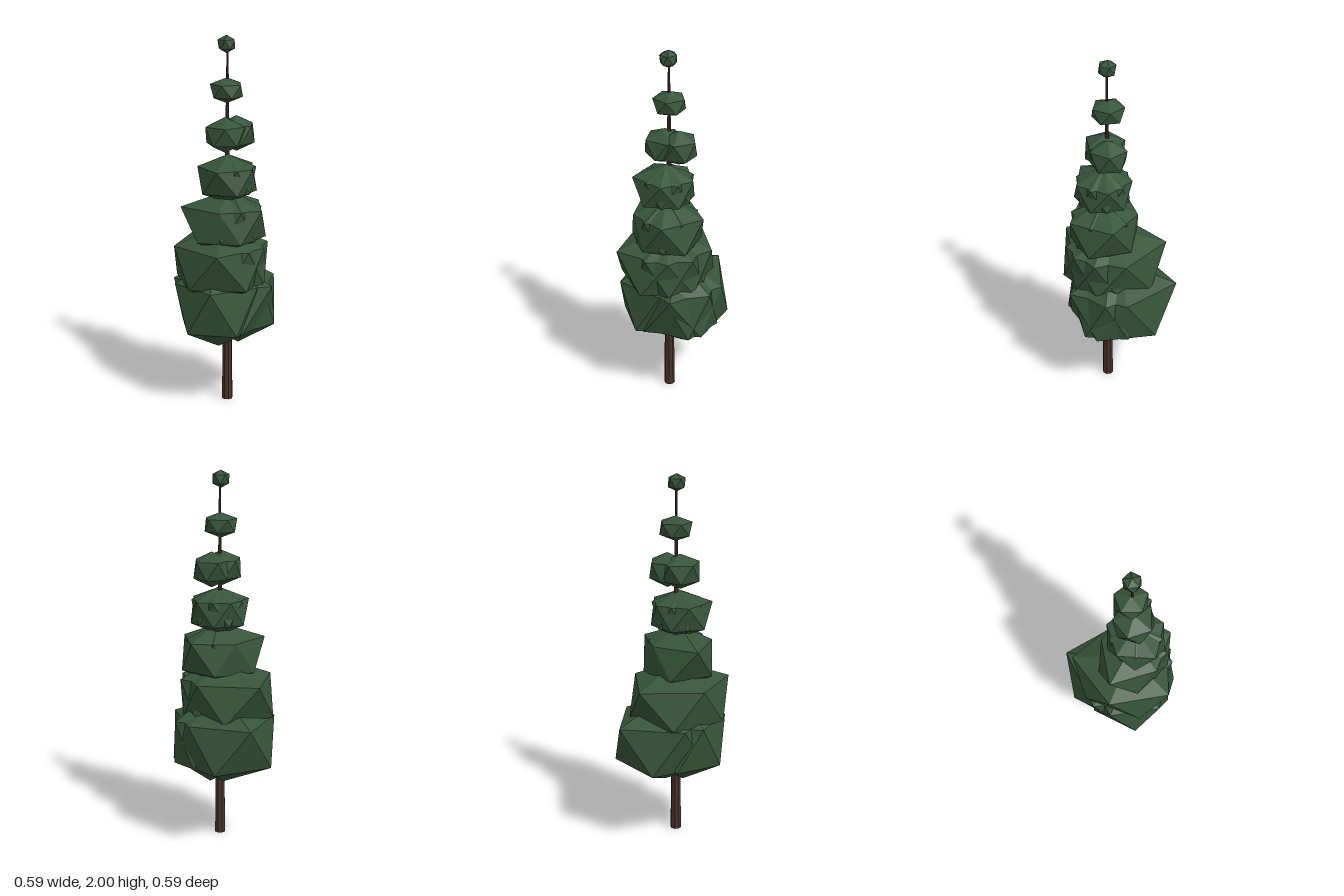
import * as THREE from 'three';
import { mergeGeometries } from 'three/addons/utils/BufferGeometryUtils.js';

// Irregular 20-sided clump: two five-cornered rings, half a step apart, closed by a top and a bottom tip.
// radii: one per upper corner, or a single value. Lower corners average their two upper neighbours.
// yaw: degrees from +z towards +x.
function clump(low, high, x, z, yaw, radii) {
  const r = Array.isArray(radii) ? radii : Array(5).fill(radii);
  const tip = (high - low) / 2;
  const corner = (radius, y, k) => {
    const a = THREE.MathUtils.degToRad(yaw + 72 * k);
    return [x + radius * Math.sin(a), y, z + radius * Math.cos(a)];
  };
  const upper = r.map((v, k) => corner(v, high, k));
  const lower = r.map((v, k) => corner(0.48 * (v + r[(k + 1) % 5]), low, k + 0.5));
  const topTip = [x, high + tip, z], bottomTip = [x, low - tip, z];
  const points = [];
  for (let k = 0; k < 5; k++) {
    const n = (k + 1) % 5;
    points.push(topTip, upper[k], upper[n], upper[k], lower[k], upper[n]);
    points.push(lower[k], lower[n], upper[n], bottomTip, lower[n], lower[k]);
  }
  const g = new THREE.BufferGeometry().setFromPoints(points.map((p) => new THREE.Vector3(...p)));
  g.computeVertexNormals();
  return g;
}

// Tiers from the ground up: ring heights and overlapping clumps [x, z, yaw, radii]
const tiers = [
  { low: 0.435, high: 0.68, clumps: [
    [-0.02, -0.06, 14, [0.25, 0.3, 0.26, 0.32, 0.28]], [-0.01, 0.03, 20, 0.235], [0.05, -0.08, 142, 0.21]] },
  { low: 0.685, high: 0.89, clumps: [[0, 0, 24, [0.285, 0.24, 0.25, 0.31, 0.265]], [0.03, -0.01, 60, 0.215]] },
  { low: 0.93, high: 1.1, clumps: [[0.03, 0, 16, [0.18, 0.21, 0.215, 0.18, 0.25]], [0.04, 0, 52, 0.17]] },
  { low: 1.185, high: 1.315, clumps: [[0.03, 0, 12, [0.18, 0.16, 0.16, 0.15, 0.16]], [0.035, 0, 48, 0.145]] },
  { low: 1.435, high: 1.53, clumps: [[0.02, 0.01, 30, 0.108], [0.045, -0.065, 80, 0.1]] },
  { low: 1.68, high: 1.747, clumps: [[0.015, -0.015, 85, 0.088]] },
  { low: 1.93, high: 1.977, clumps: [[0.016, -0.01, 20, 0.047]] },
];

export function createModel() {
  const tree = new THREE.Group();
  tree.name = 'tree';
  const foliageGreen = new THREE.MeshStandardMaterial({ color: 0x37543a });
  foliageGreen.name = 'foliageGreen';
  const barkBrown = new THREE.MeshStandardMaterial({ color: 0x4a322c, flatShading: true });
  barkBrown.name = 'barkBrown';

  // Thin tapering trunk running up through every tier
  const trunk = new THREE.Mesh(new THREE.CylinderGeometry(0.005, 0.03, 1.95, 8), barkBrown);
  trunk.name = 'trunk';
  trunk.position.set(0.02, 0.975, -0.013);
  tree.add(trunk);

  // Foliage tiers, bottom to top
  tiers.forEach(({ low, high, clumps }, i) => {
    const parts = clumps.map((c) => clump(low, high, ...c));
    const tier = new THREE.Mesh(mergeGeometries(parts), foliageGreen);
    tier.name = `foliageTier${i + 1}`;
    tree.add(tier);
  });
  return tree;
}
